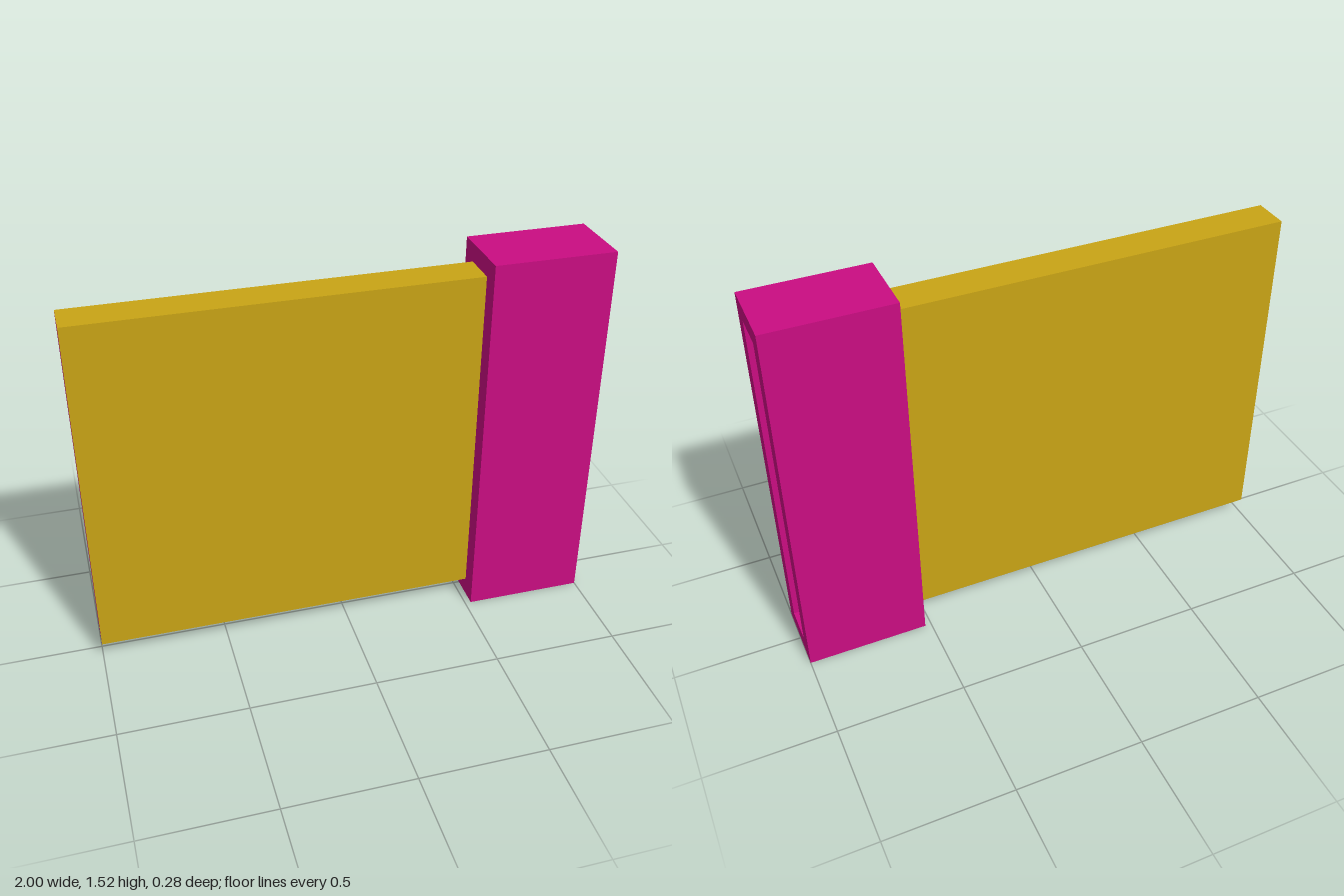
import * as THREE from 'three';

const gold = new THREE.MeshStandardMaterial({ color: 0xc9a415 });
const magenta = new THREE.MeshStandardMaterial({ color: 0xca0d82 });

const H = 1.525, D = 0.285, WALL = 0.071; // sleeve height, depth, wall thickness
const LEFT = 1, JOIN = 0.525, RIGHT = -1; // x positions along the length

// rectangle centred on the origin
function rect(PathType, w, h) {
  return new PathType([
    new THREE.Vector2(-w / 2, -h / 2),
    new THREE.Vector2(w / 2, -h / 2),
    new THREE.Vector2(w / 2, h / 2),
    new THREE.Vector2(-w / 2, h / 2),
  ]);
}

export function createModel() {
  const group = new THREE.Group();
  const slotW = D - 2 * WALL, slotH = H - 2 * WALL;

  // flat panel, with its free end in the sleeve colour
  const panel = new THREE.Mesh(
    new THREE.BoxGeometry(JOIN - RIGHT, slotH, slotW),
    [gold, magenta, gold, gold, gold, gold]
  );
  panel.name = 'panel';
  panel.position.set((JOIN + RIGHT) / 2, H / 2, 0);
  group.add(panel);

  // open rectangular sleeve around the other end
  const outline = rect(THREE.Shape, D, H);
  outline.holes.push(rect(THREE.Path, slotW, slotH));
  const geometry = new THREE.ExtrudeGeometry(outline, { depth: LEFT - JOIN, bevelEnabled: false });
  geometry.rotateY(Math.PI / 2);
  const sleeve = new THREE.Mesh(geometry, magenta);
  sleeve.name = 'sleeve';
  sleeve.position.set(JOIN, H / 2, 0);
  group.add(sleeve);

  return group;
}
